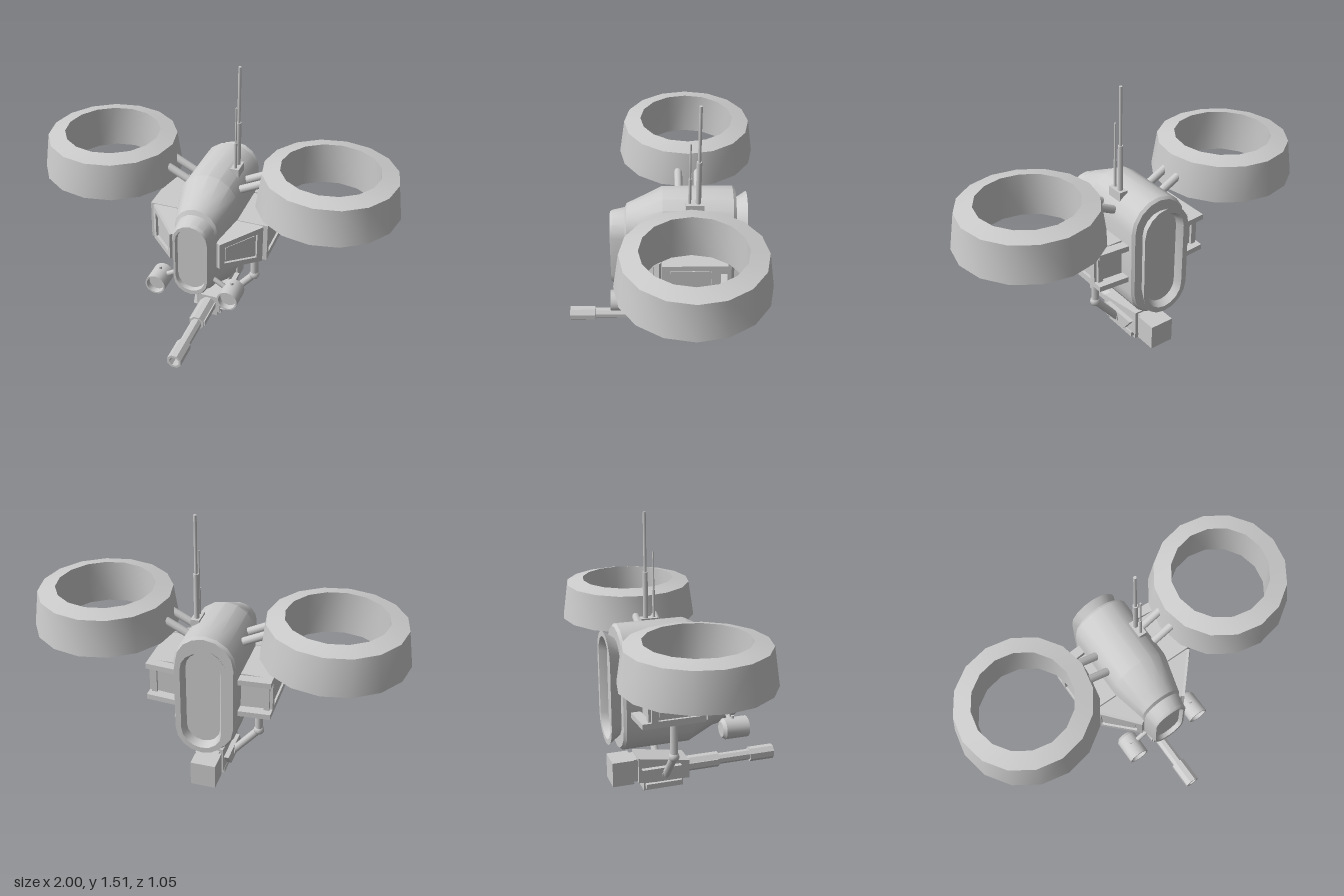
import * as THREE from 'three';
import { toCreasedNormals } from 'three/addons/utils/BufferGeometryUtils.js';
import { ConvexGeometry } from 'three/addons/geometries/ConvexGeometry.js';

const V = (x, y, z) => new THREE.Vector3(x, y, z);
const material = new THREE.MeshStandardMaterial({ color: 0xcccccc });

const box = (x0, x1, y0, y1, z0, z1) =>
  new THREE.BoxGeometry(x1 - x0, y1 - y0, z1 - z0).translate((x0 + x1) / 2, (y0 + y1) / 2, (z0 + z1) / 2);

// Rod between two points
function rod(p, q, r, sides = 10) {
  const d = q.clone().sub(p);
  const turn = new THREE.Quaternion().setFromUnitVectors(V(0, 1, 0), d.clone().normalize());
  const mid = p.clone().add(q).multiplyScalar(0.5);
  return new THREE.CylinderGeometry(r, r, d.length(), sides).applyQuaternion(turn).translate(mid.x, mid.y, mid.z);
}

// Turned part with crisp edges; profile is [radius, height]
const turned = (profile, sides, crease = 0.6) =>
  toCreasedNormals(new THREE.LatheGeometry(profile.map(p => new THREE.Vector2(...p)), sides), crease);

// Skin over upright rounded sections [z, halfWidth, bottom, top], back to front, capped
function loft(sections) {
  const arc = 8, n = 2 * (arc + 1), pos = [], index = [];
  for (const [z, w, y0, y1] of sections)
    for (let i = 0; i < n; i++) {
      const upper = i <= arc;
      const a = Math.PI * (upper ? i / arc : 1 + (i - arc - 1) / arc);
      pos.push(w * Math.cos(a), (upper ? y1 - w : y0 + w) + w * Math.sin(a), z);
    }
  const last = (sections.length - 1) * n;
  for (let s = 0; s < last; s += n)
    for (let i = 0; i < n; i++) {
      const j = (i + 1) % n;
      index.push(s + i, s + j, s + n + j, s + i, s + n + j, s + n + i);
    }
  for (let i = 1; i < n - 1; i++) index.push(0, i + 1, i, last, last + i, last + i + 1);
  const g = new THREE.BufferGeometry();
  g.setAttribute('position', new THREE.Float32BufferAttribute(pos, 3));
  g.setIndex(index);
  return toCreasedNormals(g, 0.5);
}

// Flat plate in x-y from corner points, with optional hole
function plate(corners, depth, hole) {
  const pts = list => list.map(p => new THREE.Vector2(...p));
  const shape = new THREE.Shape(pts(corners));
  if (hole) shape.holes.push(new THREE.Path(pts(hole)));
  return new THREE.ExtrudeGeometry(shape, { depth, bevelEnabled: false });
}

// Copy mirrored across x, with face winding restored
function mirrored(geometry) {
  const g = geometry.index ? geometry.toNonIndexed() : geometry.clone();
  g.scale(-1, 1, 1);
  for (const { array, itemSize: k } of Object.values(g.attributes))
    for (let t = 0; t < array.length; t += 3 * k)
      for (let c = 0; c < k; c++)
        [array[t + k + c], array[t + 2 * k + c]] = [array[t + 2 * k + c], array[t + k + c]];
  return g;
}

export function createModel() {
  const model = new THREE.Group();
  model.name = 'twinRotorDrone';
  const add = (name, g) => {
    const mesh = new THREE.Mesh(g, material);
    mesh.name = name;
    model.add(mesh);
  };
  const pair = (name, g) => {
    add(name + 'Left', g);
    add(name + 'Right', mirrored(g));
  };

  // Hull with recessed nose window
  add('hull', loft([
    [-0.385, 0.153, 0.277, 0.948], [-0.37, 0.165, 0.265, 0.96], [0, 0.165, 0.265, 0.96],
    [0.14, 0.13, 0.335, 0.885], [0.19, 0.118, 0.345, 0.86], [0.2, 0.11, 0.36, 0.835],
    [0.265, 0.1, 0.37, 0.82], [0.28, 0.094, 0.38, 0.81], [0.28, 0.083, 0.405, 0.79],
    [0.255, 0.078, 0.41, 0.785],
  ]));
  // Flared exhaust at the back
  add('exhaust', loft([
    [-0.405, 0.09, 0.35, 0.88], [-0.445, 0.108, 0.33, 0.9], [-0.445, 0.138, 0.3, 0.93],
    [-0.38, 0.105, 0.345, 0.885], [-0.37, 0.1, 0.35, 0.88],
  ]));

  // Rotor ducts and their struts
  pair('rotorDuct', turned(
    [[0.262, 0.81], [0.383, 0.828], [0.355, 1.023], [0.262, 1.045], [0.262, 0.81]], 16
  ).translate(0.615, 0, -0.143));
  for (const z of [-0.195, -0.09]) pair('ductStrut', rod(V(0.13, 0.845, z), V(0.29, 0.925, z), 0.022));

  // Antennas
  add('antennaBase', box(0.078, 0.125, 0.86, 0.95, -0.215, -0.12));
  for (const [z, r, mid, top] of [[-0.185, 0.014, 1.2, 1.515], [-0.14, 0.008, 1.1, 1.305]]) {
    add('antennaSocket', rod(V(0.1, 0.92, z), V(0.1, mid, z), r));
    add('antennaMast', rod(V(0.1, mid, z), V(0.1, top, z), r * 0.6));
  }

  // Side pod: box with framed outer panel
  pair('podBox', box(0.12, 0.32, 0.5, 0.72, -0.285, 0.005));
  pair('podFrame', plate(
    [[-0.005, 0.5], [0.285, 0.5], [0.285, 0.72], [-0.005, 0.72]], 0.015,
    [[0.028, 0.535], [0.028, 0.69], [0.25, 0.69], [0.25, 0.535]]
  ).rotateY(Math.PI / 2).translate(0.32, 0, 0));
  pair('podPanel', box(0.31, 0.327, 0.545, 0.68, -0.24, -0.038));
  // Rear guard of the pod
  for (const y of [0.5, 0.69])
    pair('podGuardBar', plate(
      [[0.14, 0.3], [0.335, 0.28], [0.335, 0.335], [0.14, 0.35]], 0.03
    ).rotateX(-Math.PI / 2).translate(0, y, 0));
  pair('podGuardPost', box(0.29, 0.32, 0.52, 0.7, -0.3, -0.28));

  // Slanted front wedge of the pod with a framed panel
  const slant = Math.atan2(0.195, 0.175), len = Math.hypot(0.195, 0.175);
  pair('wedgeCore', new ConvexGeometry([
    V(0.12, 0.535, 0.205), V(0.129, 0.535, 0.205), V(0.304, 0.5, 0.01), V(0.12, 0.5, 0.01),
    V(0.12, 0.69, 0.205), V(0.129, 0.69, 0.205), V(0.304, 0.72, 0.01), V(0.12, 0.72, 0.01),
  ]));
  const onWedge = g => g.rotateY(slant).translate(0.129, 0, 0.205);
  pair('wedgeFrame', onWedge(plate(
    [[0, 0.535], [len, 0.5], [len, 0.72], [0, 0.69]], 0.015,
    [[0.03, 0.563], [0.03, 0.662], [len - 0.035, 0.685], [len - 0.035, 0.535]])));
  pair('wedgePanel', onWedge(plate(
    [[0.042, 0.572], [len - 0.047, 0.548], [len - 0.047, 0.672], [0.042, 0.653]], 0.006)));

  // Searchlights
  pair('searchlight', turned(
    [[0, 0.135], [0.042, 0.135], [0.057, 0.152], [0.057, 0.28], [0.048, 0.28], [0.045, 0.25], [0, 0.25]], 16
  ).rotateX(Math.PI / 2).translate(0.205, 0.385, 0));
  pair('searchlightArm', rod(V(0.19, 0.4, 0.2), V(0.09, 0.46, 0.2), 0.014, 8));
  pair('searchlightKnob', rod(V(0.205, 0.43, 0.2), V(0.205, 0.455, 0.2), 0.009, 8));

  // Arms carrying the gun
  pair('upperArm', rod(V(0.225, 0.51, -0.135), V(0.228, 0.275, -0.135), 0.022));
  pair('elbow', new THREE.SphereGeometry(0.029, 12, 8).translate(0.228, 0.275, -0.135));
  pair('lowerArm', rod(V(0.228, 0.275, -0.135), V(0.085, 0.105, -0.135), 0.021));
  pair('wrist', rod(V(0.06, 0.108, -0.135), V(0.1, 0.108, -0.135), 0.027));

  // Gun receiver, profile drawn in z-y and extruded across x
  const across = (points, x0, x1) =>
    plate(points.map(([z, y]) => [-z, y]), x1 - x0).rotateY(Math.PI / 2).translate(x0, 0, 0);
  add('gunReceiver', across([[0.005, 0.055], [-0.285, 0.065], [-0.285, 0.21], [0.005, 0.16]], -0.068, 0.068));
  pair('gunSidePlate', across([[-0.008, 0.072], [-0.21, 0.072], [-0.27, 0.15], [-0.047, 0.15]], 0.06, 0.095));
  add('gunNeck', box(-0.05, 0.05, 0.07, 0.2, -0.315, -0.28));
  add('gunRearBox', box(-0.068, 0.068, 0.065, 0.205, -0.43, -0.312));
  add('gunUnderBox', box(-0.042, 0.042, 0.003, 0.06, -0.25, -0.025));
  pair('gunUnderRail', box(0.04, 0.063, 0.018, 0.045, -0.24, -0.035));

  // Octagonal barrel with hollow muzzle
  add('gunBarrel', turned([
    [0, -0.02], [0.043, -0.02], [0.043, 0.195], [0.031, 0.195], [0.031, 0.385], [0.042, 0.385],
    [0.042, 0.528], [0.028, 0.528], [0.028, 0.46], [0, 0.46],
  ], 8, 0.3).rotateX(Math.PI / 2).rotateZ(Math.PI / 8).translate(0, 0.108, 0));
  pair('barrelRail', box(0.03, 0.046, 0.093, 0.125, 0.01, 0.185));

  return model;
}
